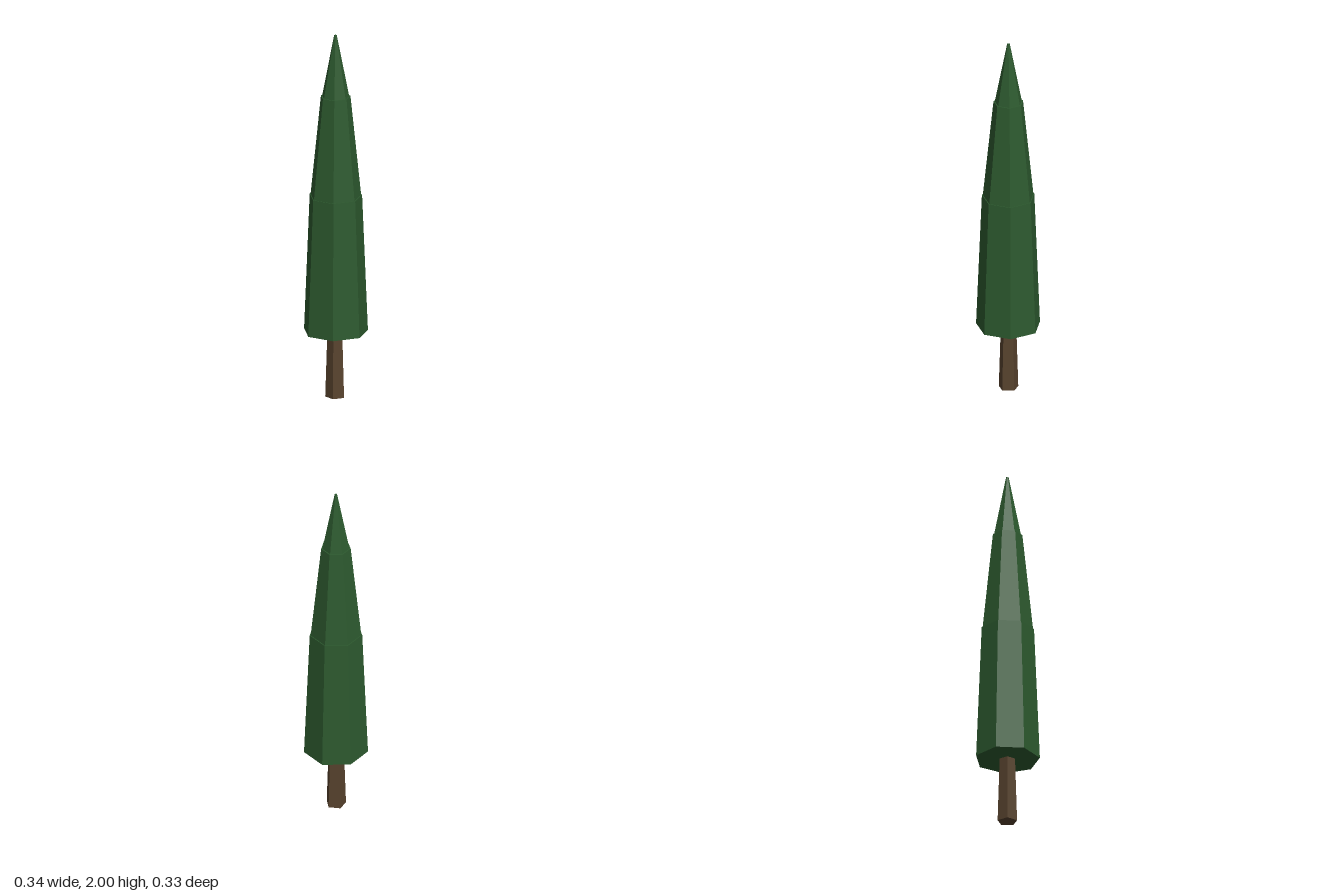
import * as THREE from 'three';

export function createModel() {
  const tree = new THREE.Group();
  tree.name = 'cypressTree';

  const foliage = new THREE.MeshStandardMaterial({ color: 0x2d5a2f, flatShading: true });
  foliage.name = 'foliageGreen';
  const bark = new THREE.MeshStandardMaterial({ color: 0x58432e, flatShading: true });
  bark.name = 'barkBrown';

  // Tapered prism between two heights, with one corner pointing to the back
  function prism(name, material, sides, y0, r0, y1, r1) {
    const geometry = new THREE.CylinderGeometry(r1, r0, y1 - y0, sides);
    geometry.rotateY(Math.PI);
    const mesh = new THREE.Mesh(geometry, material);
    mesh.name = name;
    mesh.position.set(0, (y0 + y1) / 2, 0.007);
    tree.add(mesh);
  }

  // Five-sided trunk
  prism('trunk', bark, 5, 0, 0.054, 0.38, 0.042);

  // Seven-sided tiers, each set in slightly to leave a narrow ledge
  prism('lowerFoliage', foliage, 7, 0.36, 0.173, 1.11, 0.142);
  prism('middleFoliage', foliage, 7, 1.09, 0.139, 1.66, 0.08);
  prism('topFoliage', foliage, 7, 1.64, 0.077, 2, 0.007);

  return tree;
}
